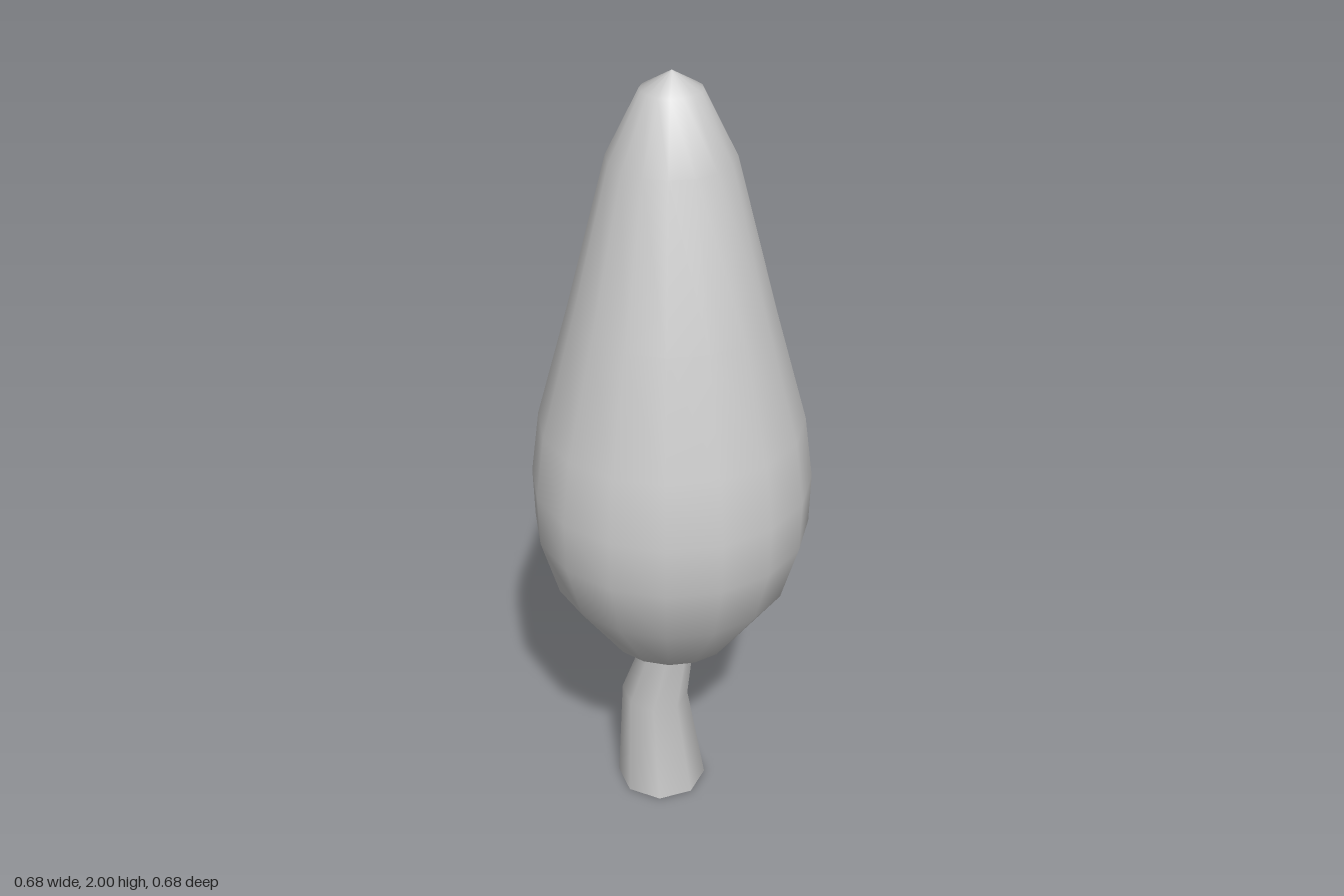
import * as THREE from 'three';

export function createModel() {
  const group = new THREE.Group();

  // Crown: a 16-sided teardrop, profile from the bottom up
  const profile = [
    [0, 0.495], [0.065, 0.5], [0.165, 0.54], [0.292, 0.72], [0.335, 0.87], [0.338, 1.0],
    [0.317, 1.16], [0.24, 1.44], [0.145, 1.81], [0.07, 1.96], [0, 2],
  ].map(([r, y]) => new THREE.Vector2(r, y));
  const crown = new THREE.Mesh(
    new THREE.LatheGeometry(profile, 16),
    new THREE.MeshStandardMaterial({ color: 0xcccccc }),
  );
  crown.name = 'crown';
  group.add(crown);

  // Trunk: an open bent tube; rings run from the top down
  const rings = [
    { x: 0.008, y: 0.55, z: 0, r: 0.058, tilt: 0 },
    { x: -0.065, y: 0.292, z: 0, r: 0.086, tilt: -0.14 },
    { x: -0.06, y: 0, z: -0.018, r: 0.117, tilt: 0 },
  ];
  const sides = 8;
  const tube = new THREE.CylinderGeometry(1, 1, 1, sides, rings.length - 1, true);
  const pos = tube.attributes.position;
  for (let i = 0; i < pos.count; i++) {
    const { x, y, z, r, tilt } = rings[Math.floor(i / (sides + 1))];
    const dx = pos.getX(i) * r;
    pos.setXYZ(i, x + dx, y + dx * tilt, z + pos.getZ(i) * r);
  }
  // Average the normals, then join them across the seam
  tube.computeVertexNormals();
  const normal = tube.attributes.normal;
  for (let k = 0; k < rings.length; k++) {
    const a = k * (sides + 1), b = a + sides;
    const n = new THREE.Vector3().fromBufferAttribute(normal, a)
      .add(new THREE.Vector3().fromBufferAttribute(normal, b)).normalize();
    normal.setXYZ(a, n.x, n.y, n.z);
    normal.setXYZ(b, n.x, n.y, n.z);
  }
  const trunk = new THREE.Mesh(
    tube,
    new THREE.MeshStandardMaterial({ color: 0xcccccc, side: THREE.DoubleSide }),
  );
  trunk.name = 'trunk';
  group.add(trunk);

  return group;
}
